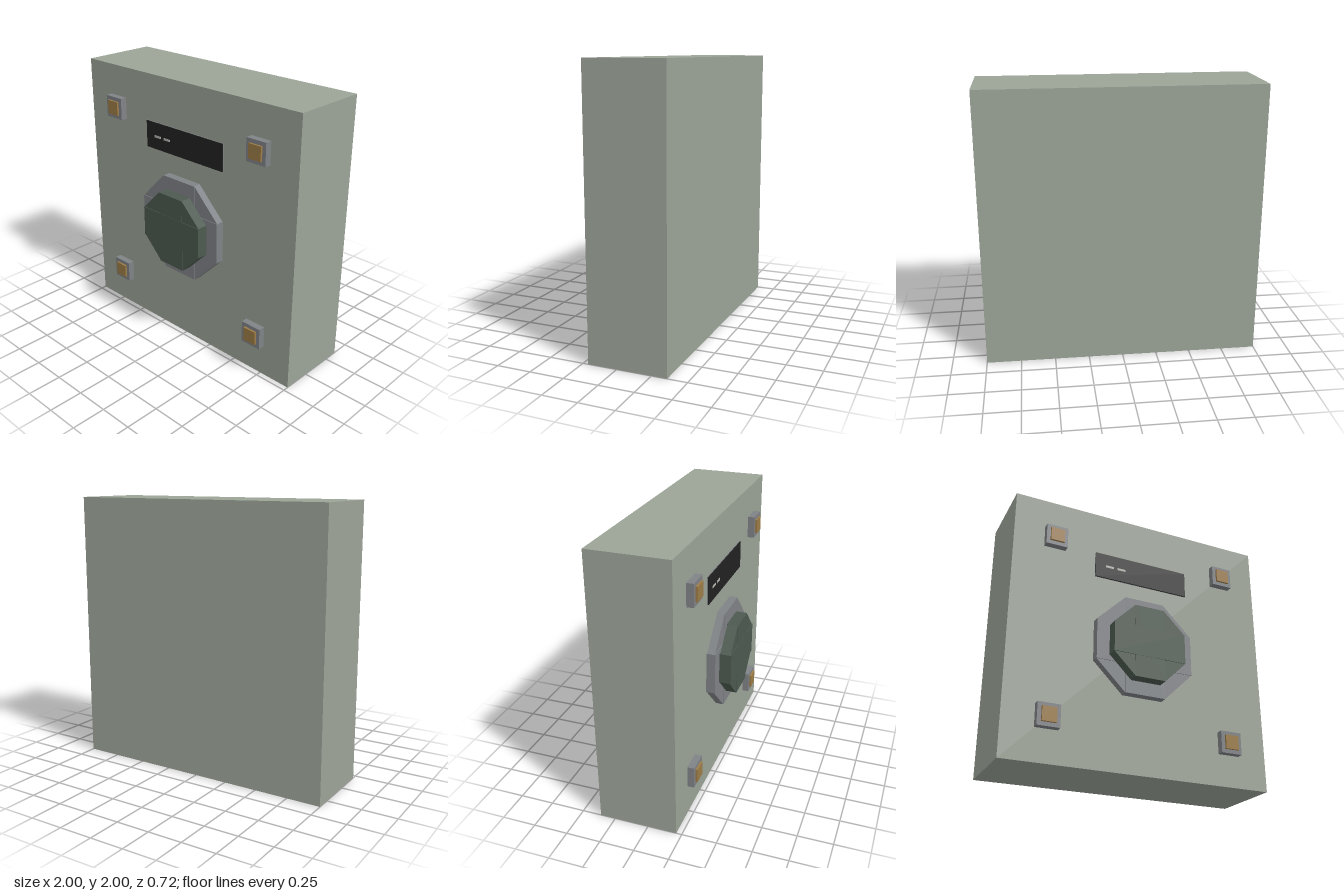
import * as THREE from 'three';

const paint = (name, color) => Object.assign(new THREE.MeshStandardMaterial({ color }), { name });

export function createModel() {
  const casingPaint = paint('sage casing', 0x9ca498);
  const metal = paint('grey metal', 0x808387);
  const brass = paint('brass', 0x9d7c48);
  const knobPaint = paint('dark green', 0x4d5a50);
  const black = paint('display black', 0x222222);
  const light = paint('pale mark', 0xb4b6ae);

  const model = new THREE.Group();
  const FRONT = 0.21; // z of the casing's front face

  // box centred on x, y and running from z0 to z1
  function box(name, material, x, y, w, h, z0, z1, parent = model) {
    const mesh = new THREE.Mesh(new THREE.BoxGeometry(w, h, z1 - z0), material);
    mesh.position.set(x, y, (z0 + z1) / 2);
    mesh.name = name;
    parent.add(mesh);
    return mesh;
  }

  // octagonal block of four crossed bars, the slanted ones slightly shallower
  function octagon(name, material, y, apothem, z0, z1) {
    const group = new THREE.Group();
    group.name = name;
    const side = 2 * apothem * Math.tan(Math.PI / 8);
    [0, 0.002, 0.005, 0.005].forEach((inset, i) => {
      const angle = [0, Math.PI / 2, Math.PI / 4, -Math.PI / 4][i];
      const bar = box(name + 'Bar', material, 0, y, 2 * apothem, side, z0 + inset, z1 - inset, group);
      bar.rotation.z = angle;
    });
    model.add(group);
  }

  // main casing
  box('casing', casingPaint, 0, 1, 2, 2, -0.36, FRONT);

  // dial: base ring and raised knob
  octagon('dialBase', metal, 0.928, 0.372, FRONT, 0.275);
  octagon('dialKnob', knobPaint, 0.928, 0.276, 0.275, 0.362);

  // display with two small pale marks
  box('displayBacking', metal, 0, 1.555, 0.744, 0.2, FRONT, 0.217);
  box('displayFace', black, 0, 1.555, 0.744, 0.2, 0.217, 0.224);
  for (const x of [-0.258, -0.165]) {
    box('displayMark', light, x, 1.553, 0.065, 0.018, 0.224, 0.226);
  }

  // four corner bolts
  for (const x of [-0.69, 0.69]) {
    for (const y of [0.315, 1.69]) {
      box('boltPlate', metal, x, y, 0.162, 0.162, FRONT, 0.26);
      box('boltHead', brass, x, y, 0.104, 0.104, 0.26, 0.275);
    }
  }
  return model;
}
